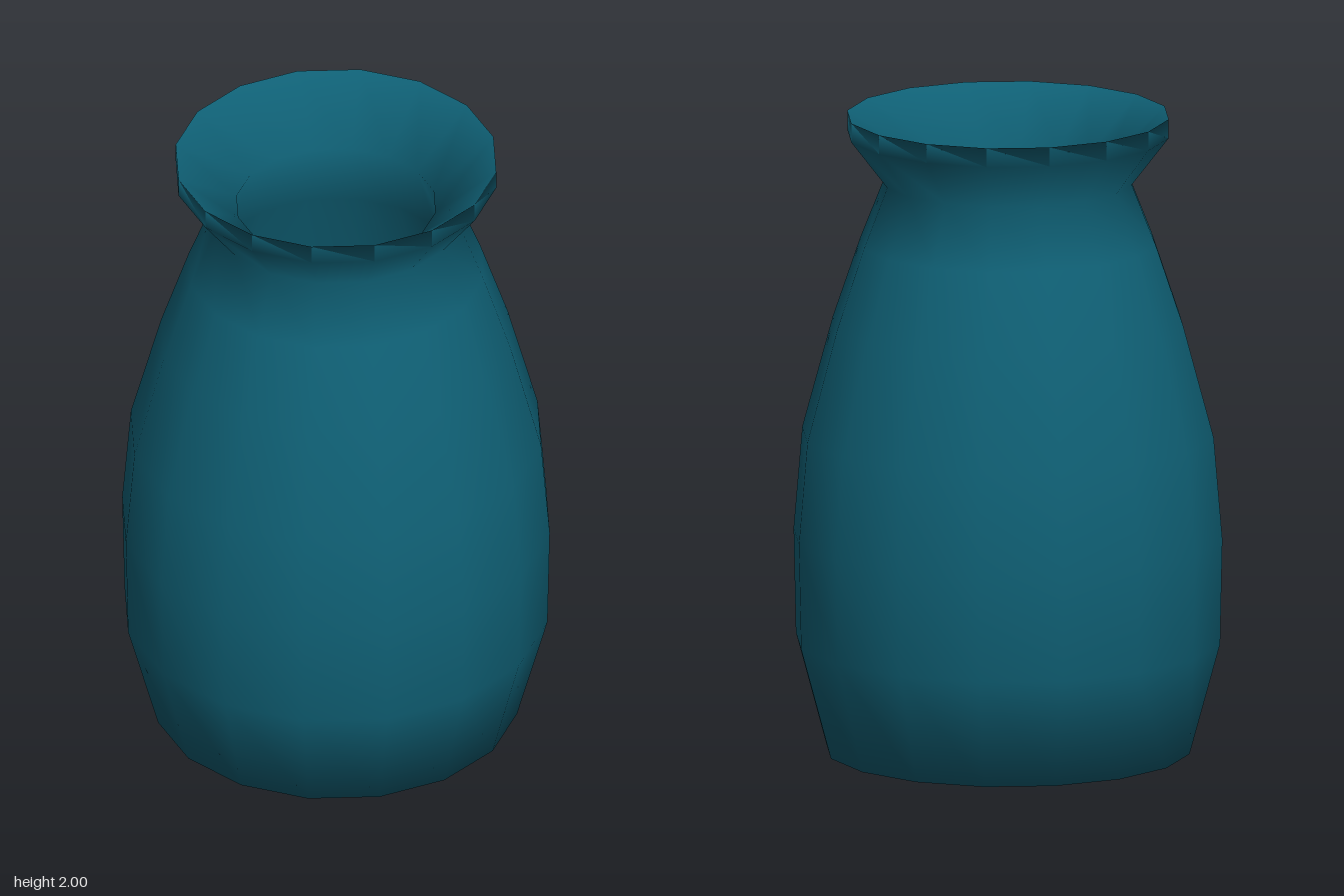
import * as THREE from 'three';

const SIDES = 16;

export function createModel() {
  const teal = new THREE.MeshStandardMaterial({ color: 0x0f6075 });
  teal.name = 'deep teal glaze';

  // Profile as [radius, height]: base, up the outside, over the rim, down the inside
  const base = [[0, 0], [0.565, 0]];
  const outerWall = [
    [0.66, 0.35], [0.667, 0.68], [0.64, 1.0], [0.545, 1.35], [0.46, 1.6], [0.385, 1.79],
  ];
  const rim = [[0.5, 1.94], [0.5, 2.0]];
  const innerWall = [
    [0.31, 1.83], [0.38, 1.6], [0.465, 1.35], [0.56, 1.0], [0.587, 0.68], [0.58, 0.35],
  ];
  const floor = [[0.5, 0.08], [0, 0.08]];

  const profile = [...base, ...outerWall, ...rim, ...innerWall, ...floor]
    .map(([r, y]) => new THREE.Vector2(r, y));

  // One smooth shell turned around the vertical axis
  const vase = new THREE.Mesh(new THREE.LatheGeometry(profile, SIDES), teal);
  vase.name = 'vaseBody';

  const group = new THREE.Group();
  group.name = 'vase';
  group.add(vase);
  return group;
}
